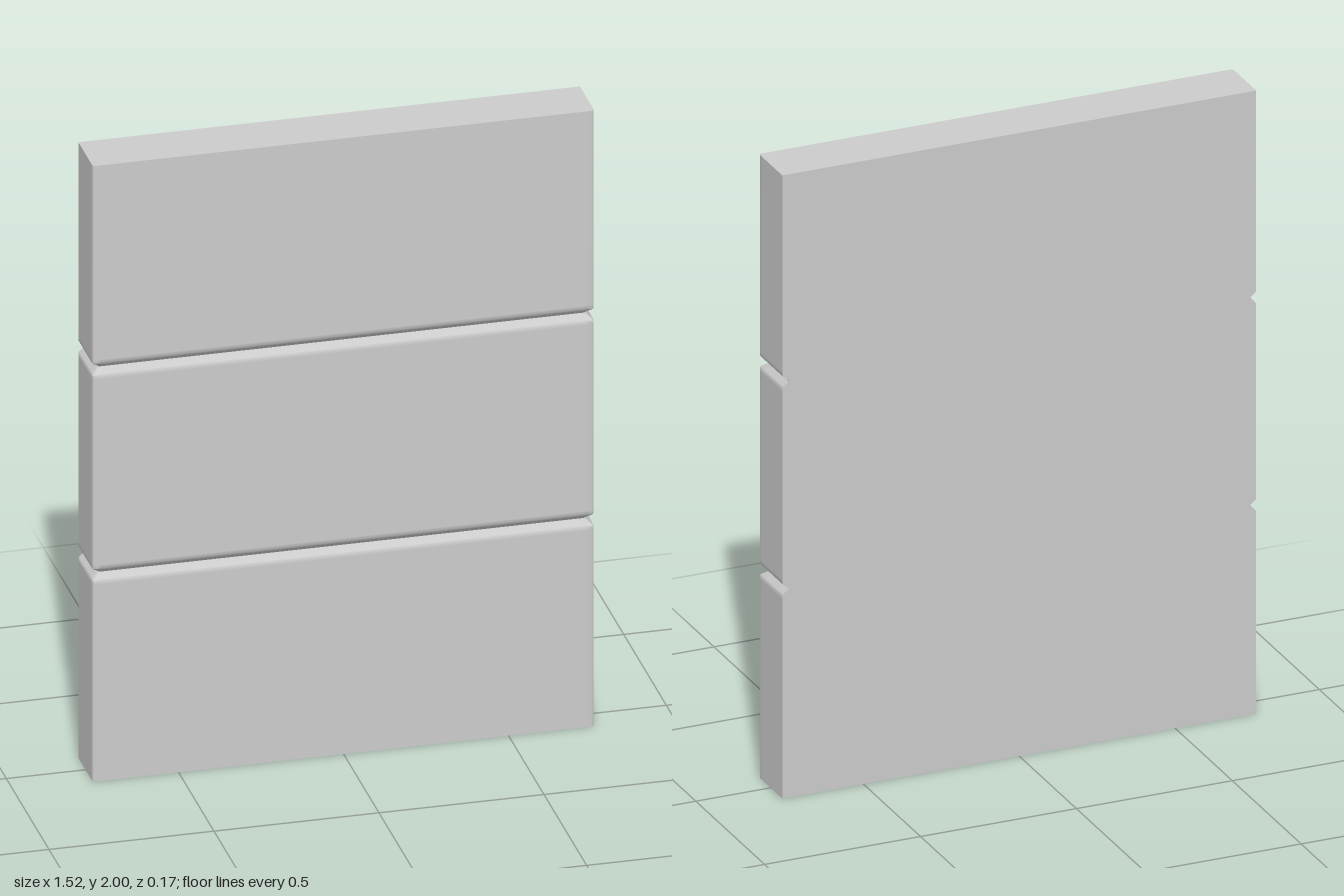
import * as THREE from 'three';
import { toCreasedNormals } from 'three/addons/utils/BufferGeometryUtils.js';

const HALF_W = 0.76, HALF_D = 0.085, HEIGHT = 2, BEVEL = 0.008;

// Horizontal outline of the panel, drawn in on the front and sides by `inset`
function outline(inset) {
  const x = HALF_W - inset, z = HALF_D - inset;
  const half = [[x, -HALF_D], [x, z - 3 * BEVEL]];
  for (let i = 0; i <= 3; i++) { // rounded front edge
    const a = (i / 3) * Math.PI / 2;
    half.push([x - BEVEL + BEVEL * Math.cos(a), z - BEVEL + BEVEL * Math.sin(a)]);
  }
  half.push([x - 3 * BEVEL, z]);
  return [...half, ...half.map(([px, pz]) => [-px, pz]).reverse()];
}

function panelGeometry() {
  // Levels as [y, inset]: two V grooves with softened lips
  const lip = [[0.032, 0], [0.02, 0], [0.016, 0.003], [0.004, 0.018]];
  const levels = [[0, 0]];
  for (const y of [0.67, 1.337]) {
    lip.forEach(([dy, d]) => levels.push([y - dy, d]));
    levels.push([y, 0.021]);
    [...lip].reverse().forEach(([dy, d]) => levels.push([y + dy, d]));
  }
  levels.push([HEIGHT, 0]);

  const positions = [], index = [];
  for (const [y, inset] of levels) {
    for (const [x, z] of outline(inset)) positions.push(x, y, z);
  }
  const n = outline(0).length, last = (levels.length - 1) * n;

  // Walls
  for (let j = 0; j < levels.length - 1; j++) {
    for (let i = 0; i < n; i++) {
      const a = j * n + i, b = j * n + (i + 1) % n;
      index.push(a, a + n, b, b, a + n, b + n);
    }
  }
  // Bottom and top caps
  const centre = positions.length / 3;
  positions.push(0, 0, 0, 0, HEIGHT, 0);
  for (let i = 0; i < n; i++) {
    const k = (i + 1) % n;
    index.push(centre, i, k, centre + 1, last + k, last + i);
  }

  const geometry = new THREE.BufferGeometry();
  geometry.setAttribute('position', new THREE.Float32BufferAttribute(positions, 3));
  geometry.setIndex(index);
  return toCreasedNormals(geometry, 0.75);
}

export function createModel() {
  const group = new THREE.Group();
  group.name = 'groovedPanel';
  const panel = new THREE.Mesh(
    panelGeometry(),
    new THREE.MeshStandardMaterial({ color: 0xcccccc })
  );
  panel.name = 'panel';
  group.add(panel);
  return group;
}
